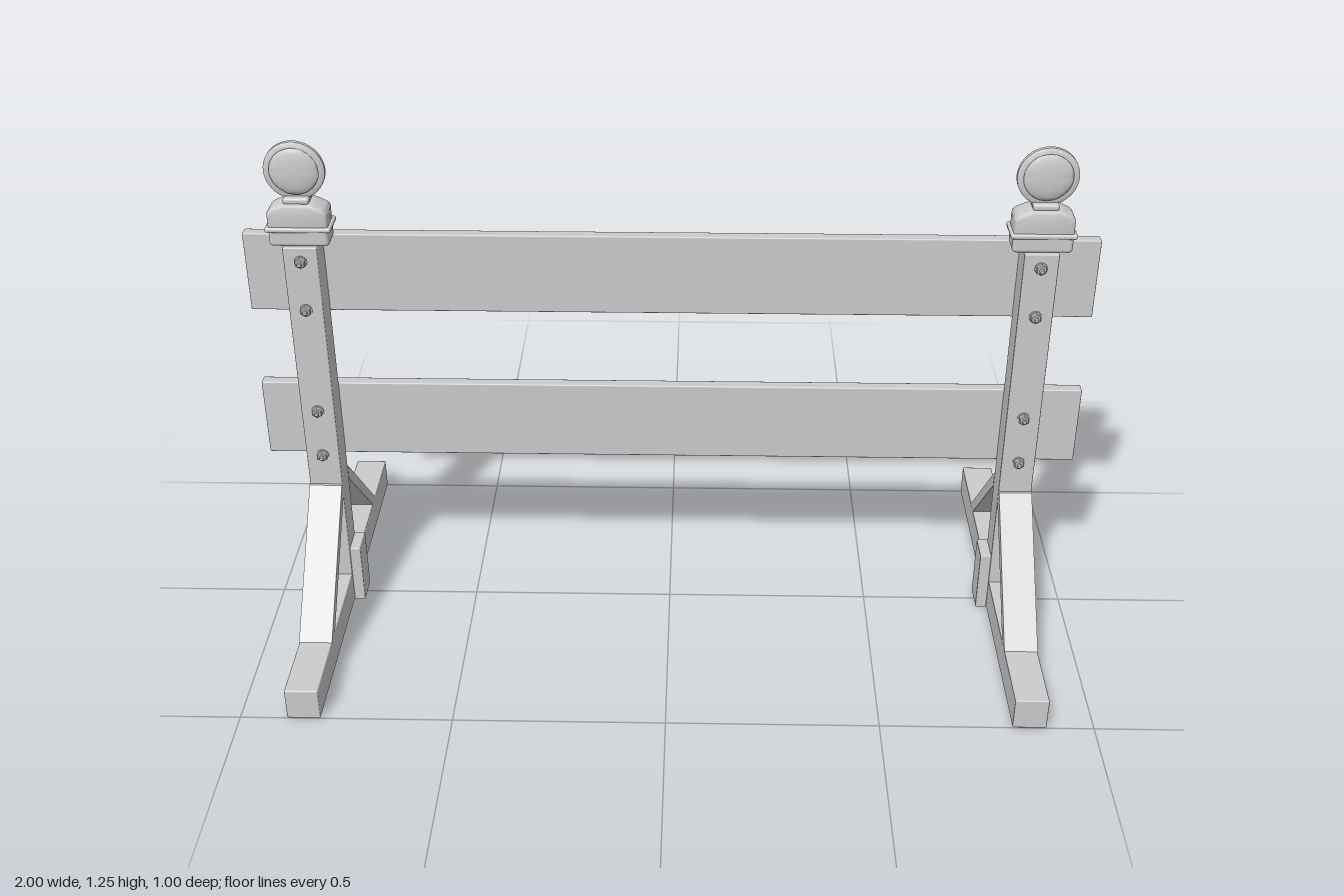
import * as THREE from 'three';
import { RoundedBoxGeometry } from 'three/addons/geometries/RoundedBoxGeometry.js';
import { toCreasedNormals } from 'three/addons/utils/BufferGeometryUtils.js';

const grey = new THREE.MeshStandardMaterial({ color: 0xcccccc });

function add(parent, name, geometry, x = 0, y = 0, z = 0) {
  const mesh = new THREE.Mesh(geometry, grey);
  mesh.name = name;
  mesh.position.set(x, y, z);
  parent.add(mesh);
  return mesh;
}

// Timber with slightly softened edges
const timber = (w, h, d) => new RoundedBoxGeometry(w, h, d, 1, 0.003);

// Lathe whose axis points along z; points are [radius, z]
function latheZ(points, sides) {
  const g = new THREE.LatheGeometry(points.map(([r, z]) => new THREE.Vector2(r, z)), sides);
  g.rotateX(Math.PI / 2);
  return toCreasedNormals(g, 0.6);
}

// Diagonal brace: profile in (z, y), extruded across x
function braceGeometry() {
  const shape = new THREE.Shape([
    [0.038, 0.322], [0.28, 0.08], [0.318, 0.08], [0.045, 0.355], [0.038, 0.355],
  ].map(([z, y]) => new THREE.Vector2(z, y)));
  const g = new THREE.ExtrudeGeometry(shape, { depth: 0.08, bevelEnabled: false });
  g.translate(0, 0, -0.04);
  g.rotateY(-Math.PI / 2);
  return g;
}

// Washer, hexagonal nut and bolt end, facing +z
function makeBolt() {
  const bolt = new THREE.Group();
  bolt.name = 'bolt';
  add(bolt, 'washer', latheZ([[0, 0], [0.015, 0], [0.015, 0.003], [0, 0.003]], 16));
  add(bolt, 'nut', latheZ([[0.013, 0.003], [0.013, 0.011], [0.011, 0.013], [0, 0.013]], 6));
  add(bolt, 'boltEnd', latheZ([[0.006, 0.013], [0.006, 0.019], [0.004, 0.021], [0, 0.021]], 10));
  return bolt;
}

// Battery housing with a shouldered lid, and a round lens on top
function makeLamp() {
  const lamp = new THREE.Group();
  lamp.name = 'warningLamp';
  add(lamp, 'housingBase', new RoundedBoxGeometry(0.138, 0.05, 0.068, 3, 0.01), 0, 1.025, 0);
  add(lamp, 'housingFlange', new RoundedBoxGeometry(0.152, 0.012, 0.078, 2, 0.005), 0, 1.043, 0);

  const lid = new THREE.Shape();
  lid.moveTo(-0.062, 1.04);
  lid.lineTo(0.062, 1.04);
  lid.lineTo(0.062, 1.077);
  lid.quadraticCurveTo(0.062, 1.083, 0.055, 1.086);
  lid.lineTo(0.038, 1.094);
  lid.quadraticCurveTo(0.034, 1.096, 0.03, 1.096);
  lid.lineTo(-0.03, 1.096);
  lid.quadraticCurveTo(-0.034, 1.096, -0.038, 1.094);
  lid.lineTo(-0.055, 1.086);
  lid.quadraticCurveTo(-0.062, 1.083, -0.062, 1.077);
  const lidGeo = new THREE.ExtrudeGeometry(lid, {
    depth: 0.05, bevelThickness: 0.008, bevelSize: 0.007, bevelSegments: 3, curveSegments: 4,
  });
  lidGeo.translate(0, 0, -0.025);
  add(lamp, 'housingLid', toCreasedNormals(lidGeo, 0.7));
  add(lamp, 'lensFoot', new RoundedBoxGeometry(0.06, 0.016, 0.048, 2, 0.006), 0, 1.109, 0);

  // Ring and domed lens on both faces
  const rim = [[0.056, -0.009], [0.064, -0.009], [0.07, -0.005], [0.07, 0.005], [0.064, 0.009], [0.056, 0.009]];
  add(lamp, 'lensRim', latheZ(rim, 40), 0, 1.177, 0);
  const dome = [];
  for (let i = 0; i <= 12; i++) {
    const a = -Math.PI / 2 + (Math.PI * i) / 12;
    dome.push([Math.max(0, 0.06 * Math.cos(a)), 0.015 * Math.sin(a)]);
  }
  add(lamp, 'lens', latheZ(dome, 40), 0, 1.177, 0);
  return lamp;
}

function makeStand(side) {
  const stand = new THREE.Group();
  stand.name = side > 0 ? 'leftStand' : 'rightStand';
  stand.position.x = side * 0.85;

  add(stand, 'post', timber(0.08, 1, 0.076), 0, 0.5, 0);
  add(stand, 'foot', timber(0.079, 0.08, 1), 0, 0.04, 0);
  for (const s of [1, -1]) {
    add(stand, 'cleat', timber(0.027, 0.16, 0.076), s * 0.0535, 0.08, 0);
    const brace = add(stand, 'brace', braceGeometry());
    if (s < 0) brace.rotation.y = Math.PI;
  }

  // Bolts through post and boards
  for (const y of [0.965, 0.84, 0.565, 0.44]) {
    const front = makeBolt();
    front.position.set(0, y, 0.038);
    const back = makeBolt();
    back.position.set(0, y, -0.067);
    back.rotation.y = Math.PI;
    stand.add(front, back);
  }
  stand.add(makeLamp());
  return stand;
}

export function createModel() {
  const model = new THREE.Group();
  model.name = 'roadBarrier';
  add(model, 'upperBoard', timber(2, 0.2, 0.029), 0, 0.9, -0.0525);
  add(model, 'lowerBoard', timber(2, 0.2, 0.029), 0, 0.5, -0.0525);
  for (const side of [1, -1]) model.add(makeStand(side));
  return model;
}
